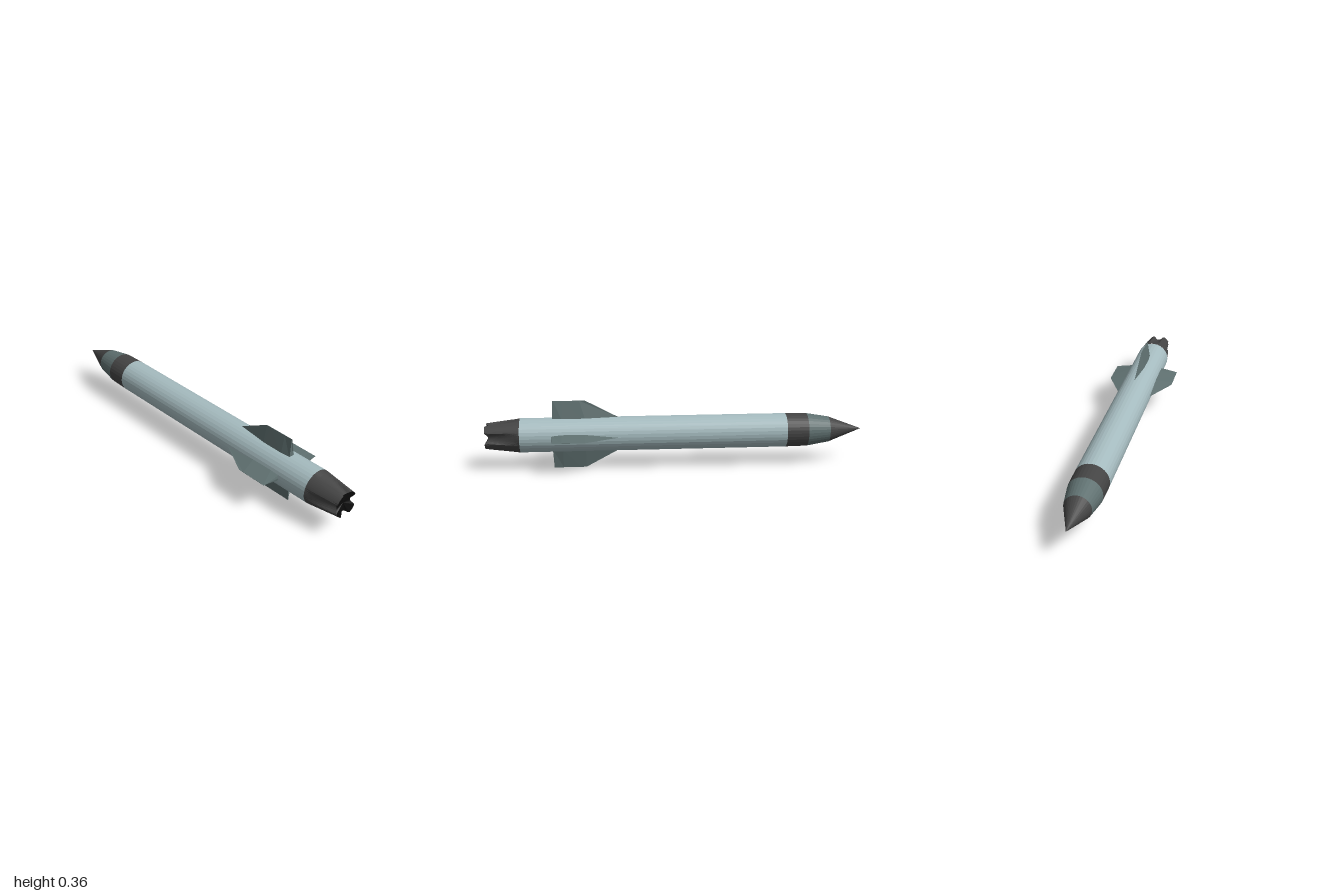
import * as THREE from 'three';

const AXIS_Y = 0.182, R = 0.09, SEG = 32;

function mat(name, color, flat = true) {
  const m = new THREE.MeshStandardMaterial({ color, flatShading: flat });
  m.name = name;
  return m;
}

// Open tube along z from z0 (radius r0) to z1 (radius r1)
function tube(z0, r0, z1, r1, seg = SEG, rows = 1) {
  const g = new THREE.CylinderGeometry(r1, r0, z1 - z0, seg, rows, true);
  g.rotateX(Math.PI / 2);
  g.translate(0, 0, (z0 + z1) / 2);
  return g;
}

// Tapered tail with four rounded grooves that deepen towards the rear
const TAIL_Z0 = 0.82, TAIL_Z1 = 1, TAIL_R = 0.068;
function tailPoint(angle, t) {
  const q = Math.PI / 2;
  const d = Math.abs(angle - Math.round(angle / q) * q);
  const half = 0.3 + 0.1 * t;
  const groove = d < half ? Math.sqrt(1 - (d / half) ** 2) : 0;
  const r = R + (TAIL_R - R) * t - 0.021 * Math.pow(t, 0.7) * groove;
  const z = TAIL_Z0 + (TAIL_Z1 - TAIL_Z0) * t - 0.018 * t * groove;
  return [r * Math.cos(angle), r * Math.sin(angle), z];
}

function tailGeometry(seg) {
  const g = tube(TAIL_Z0, R, TAIL_Z1, TAIL_R, seg, 6);
  const p = g.attributes.position;
  for (let i = 0; i < p.count; i++) {
    const t = (p.getZ(i) - TAIL_Z0) / (TAIL_Z1 - TAIL_Z0);
    p.setXYZ(i, ...tailPoint(Math.atan2(p.getY(i), p.getX(i)), Math.min(1, Math.max(0, t))));
  }
  g.computeVertexNormals();
  return g;
}

// Dark rear opening that follows the grooved rim
function nozzleGeometry(seg) {
  const v = [];
  for (let i = 0; i < seg; i++) {
    const a = (i / seg) * Math.PI * 2, b = ((i + 1) / seg) * Math.PI * 2;
    v.push(0, 0, 0.98, ...tailPoint(a, 1), ...tailPoint(b, 1));
  }
  const g = new THREE.BufferGeometry();
  g.setAttribute('position', new THREE.Float32BufferAttribute(v, 3));
  g.computeVertexNormals();
  return g;
}

// Swept fin: thick root section lofted to a sharp tip edge
function finGeometry() {
  const rootR = 0.08, tipR = 0.181;
  const root = [[0.29, 0], [0.48, 0.02], [0.6, 0.021], [0.652, 0.016]];
  const tip = [[0.48, 0], [0.51, 0.0005], [0.6, 0.0005], [0.646, 0.0005]];
  const loop = (s, y) => [
    ...s.map(([z, w]) => [w, y, z]),
    [0, y, s[3][0] + 0.003],
    ...s.slice(1).reverse().map(([z, w]) => [-w, y, z]),
  ];
  const a = loop(root, rootR), b = loop(tip, tipR), v = [];
  for (let i = 0; i < a.length; i++) {
    const j = (i + 1) % a.length;
    v.push(...a[i], ...b[i], ...b[j], ...a[i], ...b[j], ...a[j]);
    if (i > 0 && j > 0) v.push(...b[0], ...b[j], ...b[i]);
  }
  const g = new THREE.BufferGeometry();
  g.setAttribute('position', new THREE.Float32BufferAttribute(v, 3));
  g.computeVertexNormals();
  return g;
}

export function createModel() {
  const model = new THREE.Group();
  model.name = 'missile';
  const pale = mat('paleBlueGrey', 0xa5bbbf);
  const slate = mat('slateGrey', 0x5f7070);
  const dark = mat('charcoal', 0x444444);
  const black = mat('black', 0x0c0c0c);

  const add = (name, geometry, material) => {
    const m = new THREE.Mesh(geometry, material);
    m.name = name;
    m.position.y = AXIS_Y;
    model.add(m);
    return m;
  };

  // Body and nose sections
  add('body', tube(-0.585, R, TAIL_Z0, R), pale);
  add('noseBand', tube(-0.7, 0.088, -0.585, R), dark);
  add('noseSection', tube(-0.82, 0.068, -0.7, 0.088), slate);
  add('noseCone', tube(-1, 0, -0.82, 0.068), dark);

  // Tail
  add('tail', tailGeometry(64), dark);
  add('nozzleOpening', nozzleGeometry(64), black);

  // Four fins around the axis
  const fin = finGeometry();
  for (let i = 0; i < 4; i++) {
    add('fin' + (i + 1), fin, slate).rotation.z = (i * Math.PI) / 2;
  }
  return model;
}
